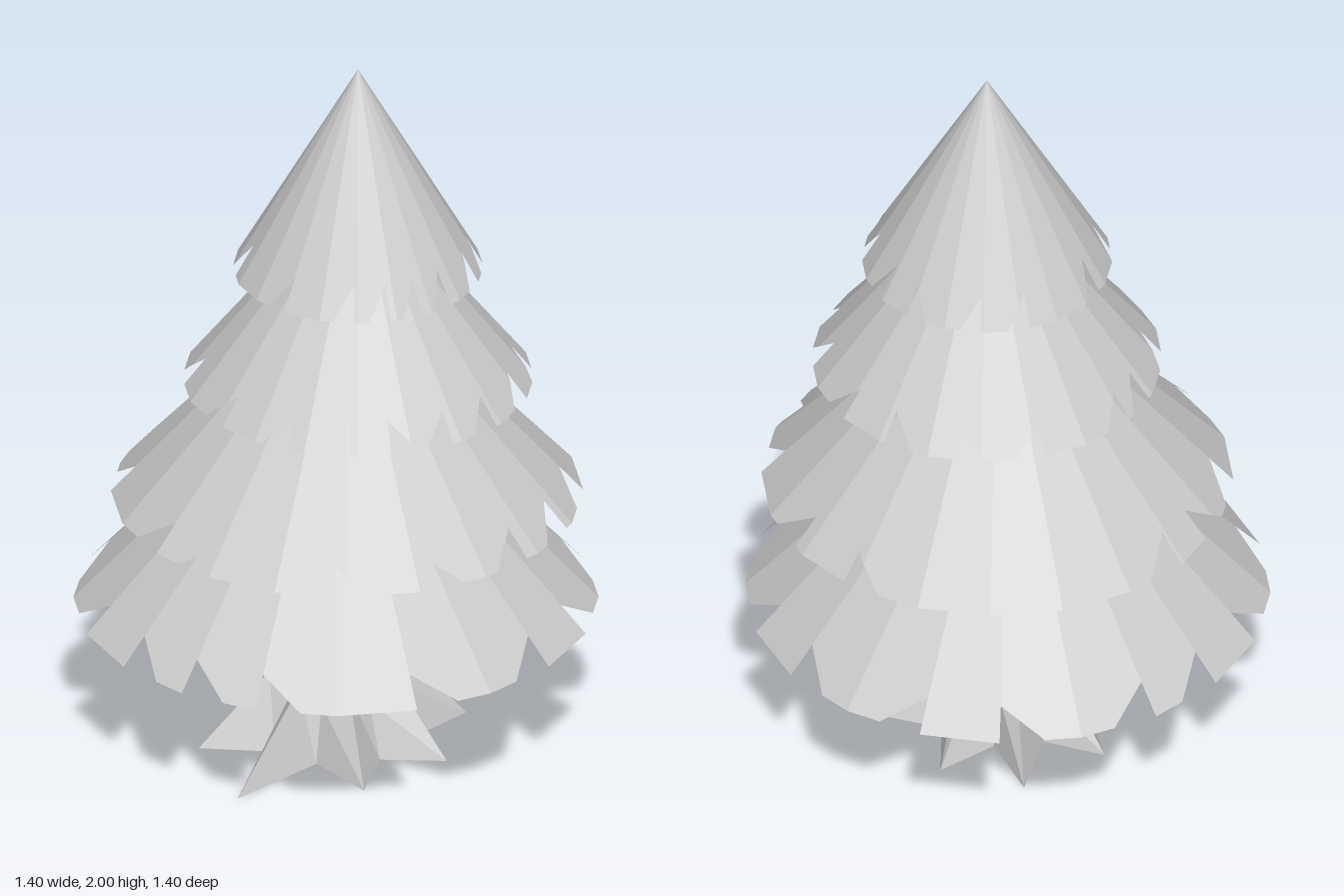
import * as THREE from 'three';

const material = new THREE.MeshStandardMaterial({
  color: 0xcccccc, flatShading: true, side: THREE.DoubleSide,
});

function makeMesh(name, positions) {
  const geo = new THREE.BufferGeometry();
  geo.setAttribute('position', new THREE.Float32BufferAttribute(positions, 3));
  geo.computeVertexNormals();
  const mesh = new THREE.Mesh(geo, material);
  mesh.name = name;
  return mesh;
}

// One branch skirt: a 20-sided hollow cone with wedge notches in its hem.
// Each notch is an angle in degrees; the wedge opens after it, or before it if negative.
function makeSkirt(name, cx, apexY, hemY, radius, notches) {
  const side = 18, width = 10, sliver = 0.1;
  const depth = 0.03 + 0.055 * radius;
  const wrap = (deg) => ((deg % 360) + 360) % 360;

  const cutAt = (deg) => Math.max(...notches.map((n) => {
    const t = wrap(Math.sign(n) * (deg - Math.abs(n)) + 1e-6) / width;
    return depth * Math.max(0, 1 - t);
  }));

  const angles = Array.from({ length: 360 / side }, (_, i) => i * side);
  for (const n of notches) {
    const a = Math.abs(n), s = Math.sign(n);
    angles.push(wrap(a - s * sliver), a, wrap(a + s * width));
  }
  const hem = [...new Set(angles)].sort((a, b) => a - b).map((deg) => {
    const offset = (deg % side) - side / 2;
    const full = radius * Math.cos(THREE.MathUtils.degToRad(side / 2))
      / Math.cos(THREE.MathUtils.degToRad(offset));
    const r = full - cutAt(deg), a = THREE.MathUtils.degToRad(deg);
    return [cx + r * Math.cos(a), apexY - (apexY - hemY) * r / full, r * Math.sin(a)];
  });

  const pos = [];
  hem.forEach((p, i) => pos.push(cx, apexY, 0, ...hem[(i + 1) % hem.length], ...p));
  return makeMesh(name, pos);
}

// Trunk with eight spreading roots, built from cross-sections
function makeTrunk() {
  const tips = [[0.35, -0.11], [0.36, 0.17], [0.2, 0.47], [-0.1, 0.38],
    [-0.34, 0.08], [-0.34, -0.18], [-0.15, -0.32], [0.15, -0.32]];
  const base = [], shoulder = [], angles = [];
  const polar = (a, r, y) => [0.02 + r * Math.cos(a), y, 0.01 + r * Math.sin(a)];
  tips.forEach(([x, z], i) => {
    const [nx, nz] = tips[(i + 1) % tips.length];
    const ridge = Math.atan2(z, x - 0.02);
    const valley = Math.atan2(z + nz, x + nx - 0.04);
    angles.push(ridge, valley);
    base.push([x, 0, z], polar(valley, 0.22, 0));
    shoulder.push(polar(ridge, 0.19, 0.2), polar(valley, 0.165, 0.15));
  });
  const ring = (cx, y, r) => angles.map((a) => [cx + r * Math.cos(a), y, r * Math.sin(a)]);
  const rings = [base, shoulder, ring(0.02, 0.4, 0.135), ring(0.05, 0.9, 0.1)];
  const pos = [];
  for (let k = 0; k < rings.length - 1; k++) {
    const lo = rings[k], hi = rings[k + 1];
    for (let i = 0; i < lo.length; i++) {
      const j = (i + 1) % lo.length;
      pos.push(...lo[i], ...hi[i], ...hi[j], ...lo[i], ...hi[j], ...lo[j]);
    }
  }
  return makeMesh('trunk', pos);
}

export function createModel() {
  const tree = new THREE.Group();
  tree.name = 'tree';
  tree.add(
    makeTrunk(),
    makeSkirt('bottomBranches', 0, 1.13, 0.38, 0.7,
      [-18, -54, -72, -90, 108, -144, 162, 180, -216, 234, -270, 288, -324, 342]),
    makeSkirt('lowerBranches', 0.05, 1.41, 0.72, 0.63,
      [-16, -41, 56, 72, 90, 126, -151, 163, -198, -225, -255, 274, 306, 327, 346]),
    makeSkirt('upperBranches', 0.1, 1.68, 1.08, 0.47,
      [3, -25, 39, 60, 87, 121, 147, 160, 195, -224, -250, 269, 300, 322, 344]),
    makeSkirt('topBranches', 0.1, 2, 1.41, 0.335,
      [5, 21, 38, 72, 117, 150, 194, 217, -254, 272, 303, 322, 348]),
  );
  return tree;
}
